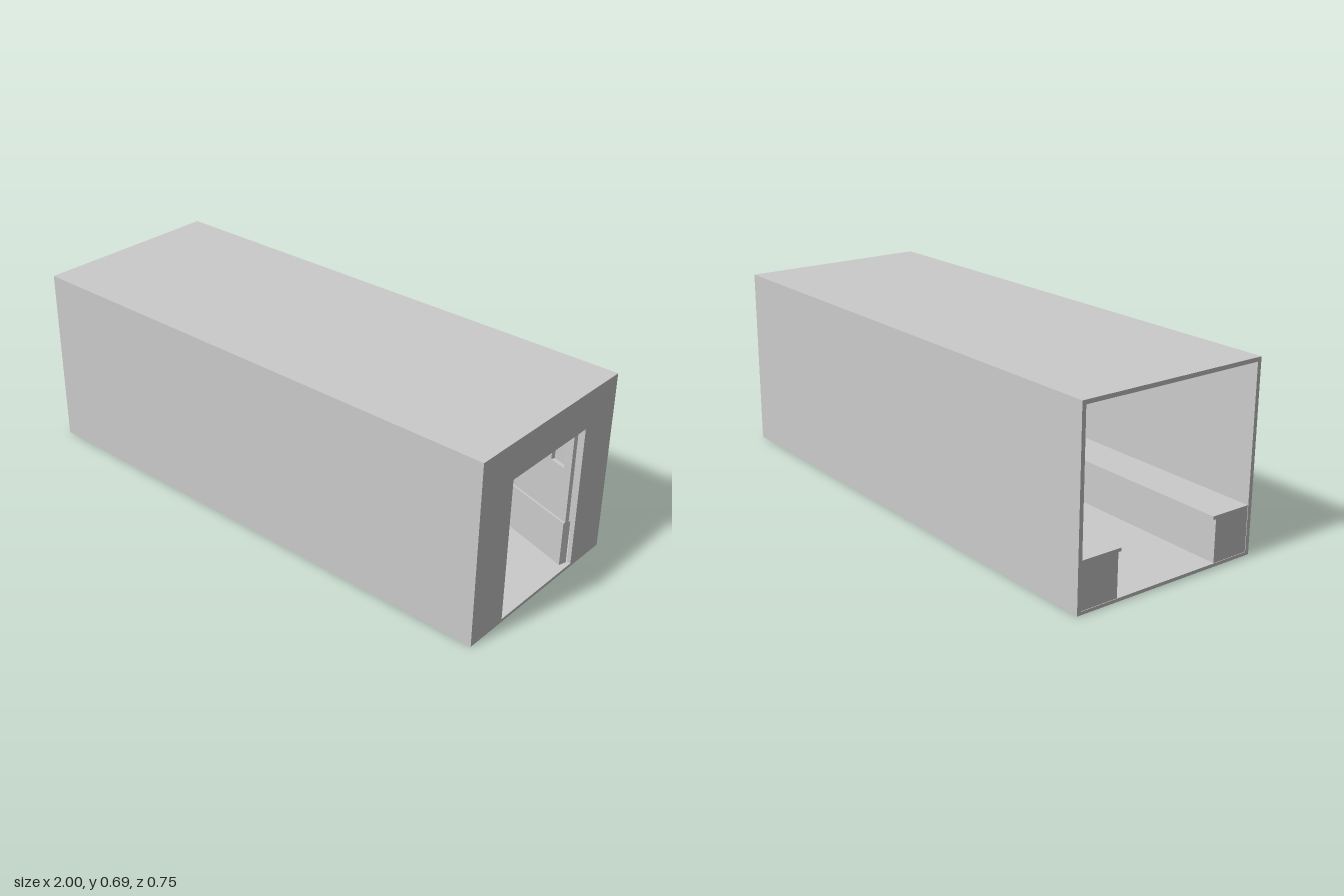
import * as THREE from 'three';

const material = new THREE.MeshStandardMaterial({ color: 0xcccccc, side: THREE.DoubleSide });

function addMesh(parent, name, geometry, x = 0, y = 0, z = 0) {
  const mesh = new THREE.Mesh(geometry, material);
  mesh.name = name;
  mesh.position.set(x, y, z);
  parent.add(mesh);
  return mesh;
}

// Box given by its minimum and maximum corners
function addBox(parent, name, [x0, y0, z0], [x1, y1, z1]) {
  return addMesh(parent, name, new THREE.BoxGeometry(x1 - x0, y1 - y0, z1 - z0),
    (x0 + x1) / 2, (y0 + y1) / 2, (z0 + z1) / 2);
}

function rectangle(path, x0, y0, x1, y1) {
  path.moveTo(x0, y0).lineTo(x1, y0).lineTo(x1, y1).lineTo(x0, y1).closePath();
  return path;
}

// Upright panel with one rectangular hole, centred on its thickness
function panel(outer, hole, depth) {
  const shape = rectangle(new THREE.Shape(), ...outer);
  shape.holes.push(rectangle(new THREE.Path(), ...hole));
  return new THREE.ExtrudeGeometry(shape, { depth, bevelEnabled: false }).translate(0, 0, -depth / 2);
}

export function createModel() {
  const model = new THREE.Group();
  model.name = 'container';
  const W = 0.375, H = 0.688, T = 0.015;

  // Shell, open at the -x end
  addBox(model, 'floor', [-1, 0, -W + T], [1 - T, 0.012, W - T]);
  addBox(model, 'roof', [-1, H - T, -W + T], [1 - T, H, W - T]);
  for (const s of [-1, 1]) {
    addBox(model, 'sideWall', [-1, 0, s > 0 ? W - T : -W], [1 - T, H, s > 0 ? W : -W + T]);
  }

  // End wall with the doorway
  const endWall = addMesh(model, 'endWall',
    panel([-W, 0, W, H], [-0.207, 0.012, 0.203, 0.55], T), 1 - T / 2, 0, 0);
  endWall.rotation.y = Math.PI / 2;

  for (const s of [-1, 1]) {
    // Bench along the side wall
    const bench = new THREE.Group();
    bench.name = 'bench';
    model.add(bench);
    const span = (a, b) => [Math.min(s * a, s * b), Math.max(s * a, s * b)];
    const [b0, b1] = span(0.212, W - T);
    addBox(bench, 'benchBase', [-0.998, 0.012, b0], [0.69, 0.168, b1]);
    const [t0, t1] = span(0.2, W - T);
    addBox(bench, 'benchSeat', [-0.998, 0.168, t0], [0.69, 0.18, t1]);

    // Door leaf swung inward past square, with a thicker lower panel
    const door = new THREE.Group();
    door.name = 'doorLeaf';
    door.position.set(0.98, 0, s * 0.183);
    door.rotation.y = Math.PI + s * 0.3;
    model.add(door);
    addMesh(door, 'doorUpperPanel', panel([0, 0.185, 0.3, 0.55], [0.035, 0.385, 0.1, 0.485], 0.015));
    addBox(door, 'doorLowerPanel', [0, 0.012, -0.015], [0.3, 0.185, 0.015]);
  }
  return model;
}
